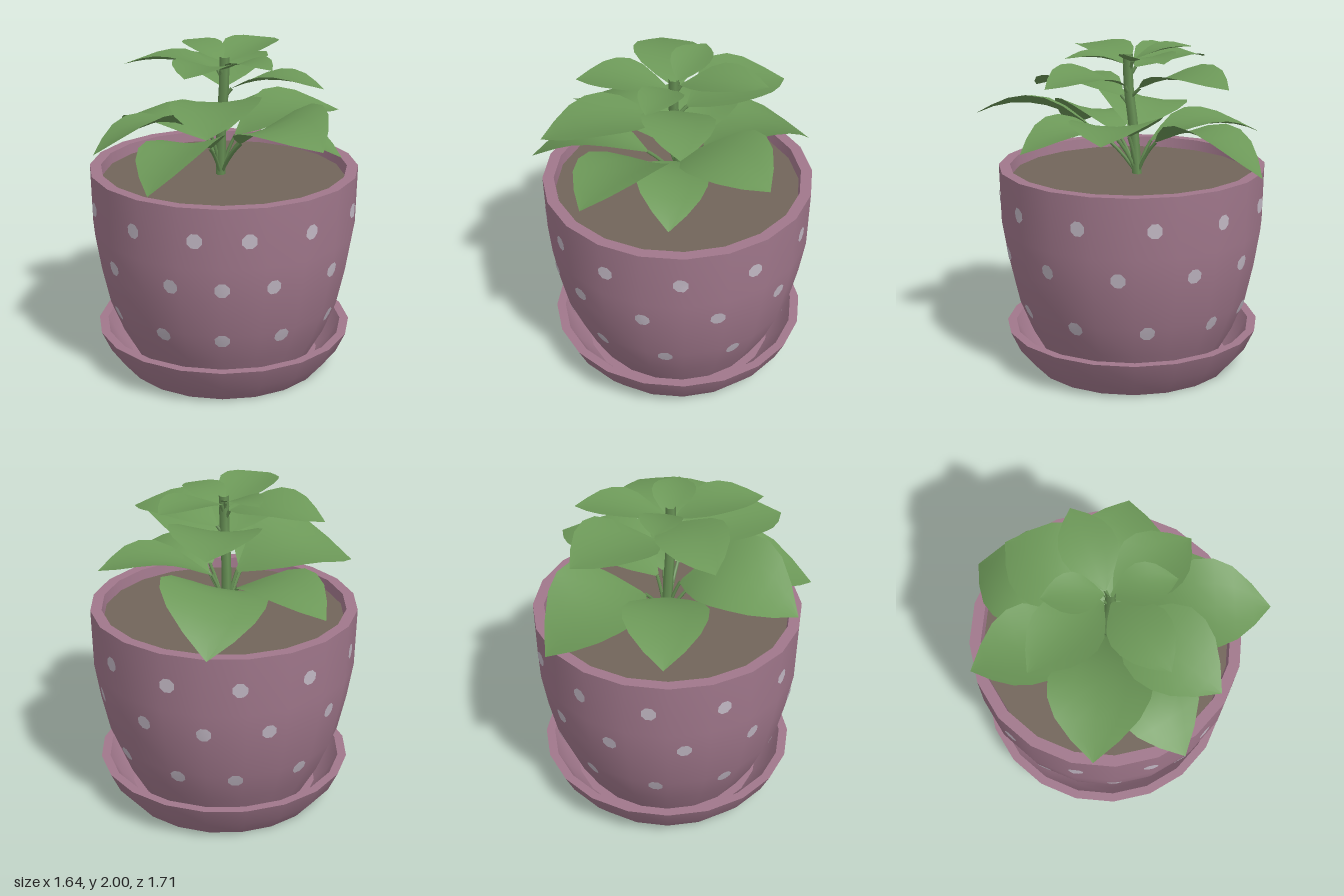
import * as THREE from 'three';

const CZ = 0.035; // pot axis in z
const SIDES = 20;

const mat = (name, color, side = THREE.FrontSide) => {
  const m = new THREE.MeshStandardMaterial({ color, side });
  m.name = name;
  return m;
};

// Outer pot profile, bottom to top: [radius, height]
const WALL = [[0.54, 0.06], [0.645, 0.25], [0.725, 0.45], [0.775, 0.68], [0.81, 0.9], [0.818, 1.265]];

function wallRadius(y) {
  for (let i = 1; i < WALL.length; i++) {
    const [r0, y0] = WALL[i - 1], [r1, y1] = WALL[i];
    if (y <= y1) return r0 + (r1 - r0) * (y - y0) / (y1 - y0);
  }
  return WALL[WALL.length - 1][0];
}

// Point on the faceted pot wall, lifted slightly
function onWall(angle, y) {
  const step = 2 * Math.PI / SIDES;
  const a = ((angle % step) + step) % step - step / 2;
  const r = wallRadius(y) * Math.cos(step / 2) / Math.cos(a) + 0.006;
  return [r * Math.sin(angle), y, r * Math.cos(angle)];
}

// Each profile becomes its own smooth lathe, so edges between them stay sharp
function turned(name, material, profiles) {
  const g = new THREE.Group();
  g.name = name;
  for (const p of profiles) {
    const geo = new THREE.LatheGeometry(p.map(([x, y]) => new THREE.Vector2(x, y)), SIDES);
    const m = new THREE.Mesh(geo, material);
    m.name = name + 'Surface';
    g.add(m);
  }
  return g;
}

// Eight-sided spots wrapped on the wall
function spots(material) {
  const rows = [
    [1.07, [11, 38.6, 70.5, 102.5, 134, 165]],
    [0.77, [0, 22, 54, 86.5, 119, 152, 180]],
    [0.42, [0, 29, 63, 97, 132, 166]],
  ];
  const pos = [], idx = [];
  for (const [y, angles] of rows) {
    const all = angles.concat(angles.filter(a => a > 0 && a < 180).map(a => -a));
    for (const deg of all) {
      const a = deg * Math.PI / 180, start = pos.length / 3, r = wallRadius(y);
      pos.push(...onWall(a, y));
      for (let k = 0; k < 8; k++) {
        const t = (k + 0.5) * Math.PI / 4;
        pos.push(...onWall(a + 0.047 * Math.cos(t) / r, y + 0.047 * Math.sin(t)));
        idx.push(start, start + 1 + k, start + 1 + (k + 1) % 8);
      }
    }
  }
  const g = new THREE.BufferGeometry();
  g.setAttribute('position', new THREE.Float32BufferAttribute(pos, 3));
  g.setIndex(idx);
  g.computeVertexNormals();
  const m = new THREE.Mesh(g, material);
  m.name = 'spots';
  return m;
}

// Arched ovate blade from base to tip; edges rise by cup, roll tilts it sideways
const OUTLINE = [0.06, 0.5, 0.85, 1, 0.97, 0.8, 0.46, 0];
function bladeGeometry(base, tip, midY, width, roll, cup) {
  const ctrl = base.clone().lerp(tip, 0.5);
  ctrl.y = 2 * midY - (base.y + tip.y) / 2;
  const rib = new THREE.QuadraticBezierCurve3(base, ctrl, tip);
  const dir = tip.clone().sub(base).setY(0).normalize();
  const side = new THREE.Vector3(0, 1, 0).cross(dir);
  const pos = [], idx = [], n = OUTLINE.length - 1, across = 4;
  for (let i = 0; i <= n; i++) {
    const c = rib.getPoint(i / n);
    for (let j = 0; j <= across; j++) {
      const v = j / across * 2 - 1, h = OUTLINE[i] * v;
      const p = c.clone().addScaledVector(side, h * width / 2);
      pos.push(p.x, p.y + roll * h + cup * h * h, p.z);
      if (i < n && j < across) {
        const a = i * (across + 1) + j, b = a + across + 1;
        idx.push(a, b, a + 1, b, b + 1, a + 1);
      }
    }
  }
  const g = new THREE.BufferGeometry();
  g.setAttribute('position', new THREE.Float32BufferAttribute(pos, 3));
  g.setIndex(idx);
  g.computeVertexNormals();
  return g;
}

export function createModel() {
  const pink = mat('mauve glaze', 0xa0778b);
  const pale = mat('pale spots', 0xc2b8c4);
  const earth = mat('soil', 0x72655a);
  const green = mat('leaf green', 0x6c9858, THREE.DoubleSide);
  const stalkGreen = mat('stalk green', 0x668f54);

  const model = new THREE.Group();
  model.name = 'pottedPlant';

  // Pot, saucer and soil
  const vessel = new THREE.Group();
  vessel.name = 'vessel';
  vessel.position.z = CZ;
  vessel.add(
    turned('pot', pink, [
      WALL,
      [[0.818, 1.265], [0.75, 1.265]],
      [[0.75, 1.265], [0.735, 1.15]],
    ]),
    turned('saucer', pink, [
      [[0, 0], [0.63, 0]],
      [[0.63, 0], [0.73, 0.12], [0.79, 0.25]],
      [[0.79, 0.25], [0.735, 0.25]],
      [[0.735, 0.25], [0.67, 0.13], [0.59, 0.05]],
      [[0.59, 0.05], [0, 0.05]],
    ]),
    turned('soil', earth, [[[0.74, 1.2], [0, 1.2]]]),
    spots(pale),
  );
  model.add(vessel);

  // Main stem
  const stem = new THREE.CatmullRomCurve3([
    new THREE.Vector3(-0.02, 1.18, 0.01),
    new THREE.Vector3(-0.015, 1.5, 0.035),
    new THREE.Vector3(0, 1.75, 0.06),
    new THREE.Vector3(0.005, 1.94, 0.06),
  ]);
  const stemMesh = new THREE.Mesh(new THREE.TubeGeometry(stem, 8, 0.03, 6), stalkGreen);
  stemMesh.name = 'stem';
  model.add(stemMesh);

  // Leaves: tip x, y, z, base height, middle height, width, roll, start along the way
  const leaves = [
    [-0.035, 1.29, -0.86, 1.42, 1.5, 0.62, -0.05, 0.2],
    [0, 1.79, -0.645, 1.74, 1.83, 0.54, 0, 0.1],
    [0.71, 1.54, -0.25, 1.45, 1.58, 0.55, 0.02, 0.1],
    [0.585, 1.79, 0.24, 1.75, 1.83, 0.42, -0.02, 0.08],
    [0.69, 1.41, 0.35, 1.44, 1.52, 0.42, -0.02, 0.15],
    [0.55, 1.58, 0.81, 1.45, 1.64, 0.52, 0.05, 0.2],
    [-0.66, 1.41, -0.48, 1.4, 1.5, 0.5, 0, 0.15],
    [-0.61, 1.86, -0.09, 1.86, 1.91, 0.42, 0.02, 0.06],
    [-0.75, 1.44, 0.42, 1.46, 1.59, 0.6, 0.07, 0.1],
    [-0.41, 1.33, 0.83, 1.42, 1.51, 0.5, 0.05, 0.2],
    [-0.08, 1.66, 0.845, 1.68, 1.73, 0.52, 0.02, 0.1],
    [-0.21, 1.93, 0.58, 1.87, 1.94, 0.36, 0, 0.08],
    [-0.245, 1.98, -0.24, 1.91, 1.97, 0.25, 0, 0.05],
    [0.28, 1.92, 0.33, 1.87, 1.93, 0.26, 0, 0.05],
    [0.31, 1.96, -0.4, 1.9, 1.96, 0.33, 0, 0.05],
  ];
  for (const [x, y, z, baseY, midY, width, roll, start] of leaves) {
    const tip = new THREE.Vector3(x, y, z);
    const base = new THREE.Vector3(0, baseY, 0.04).lerp(tip, start).setY(baseY);
    const blade = new THREE.Mesh(
      bladeGeometry(base, tip, midY, width, roll, width * 0.09), green);
    blade.name = 'leaf';

    // Stalk from the stem to the leaf base
    const low = Math.max(1.19, baseY - (baseY < 1.6 ? 0.26 : 0.14));
    const foot = stem.getPoint((low - 1.18) / 0.76);
    const bend = foot.clone().lerp(base, 0.4).setY((low + baseY) / 2 + 0.03);
    const stalk = new THREE.Mesh(
      new THREE.TubeGeometry(new THREE.QuadraticBezierCurve3(foot, bend, base), 5, 0.011, 5), stalkGreen);
    stalk.name = 'leafStalk';
    model.add(blade, stalk);
  }
  return model;
}
